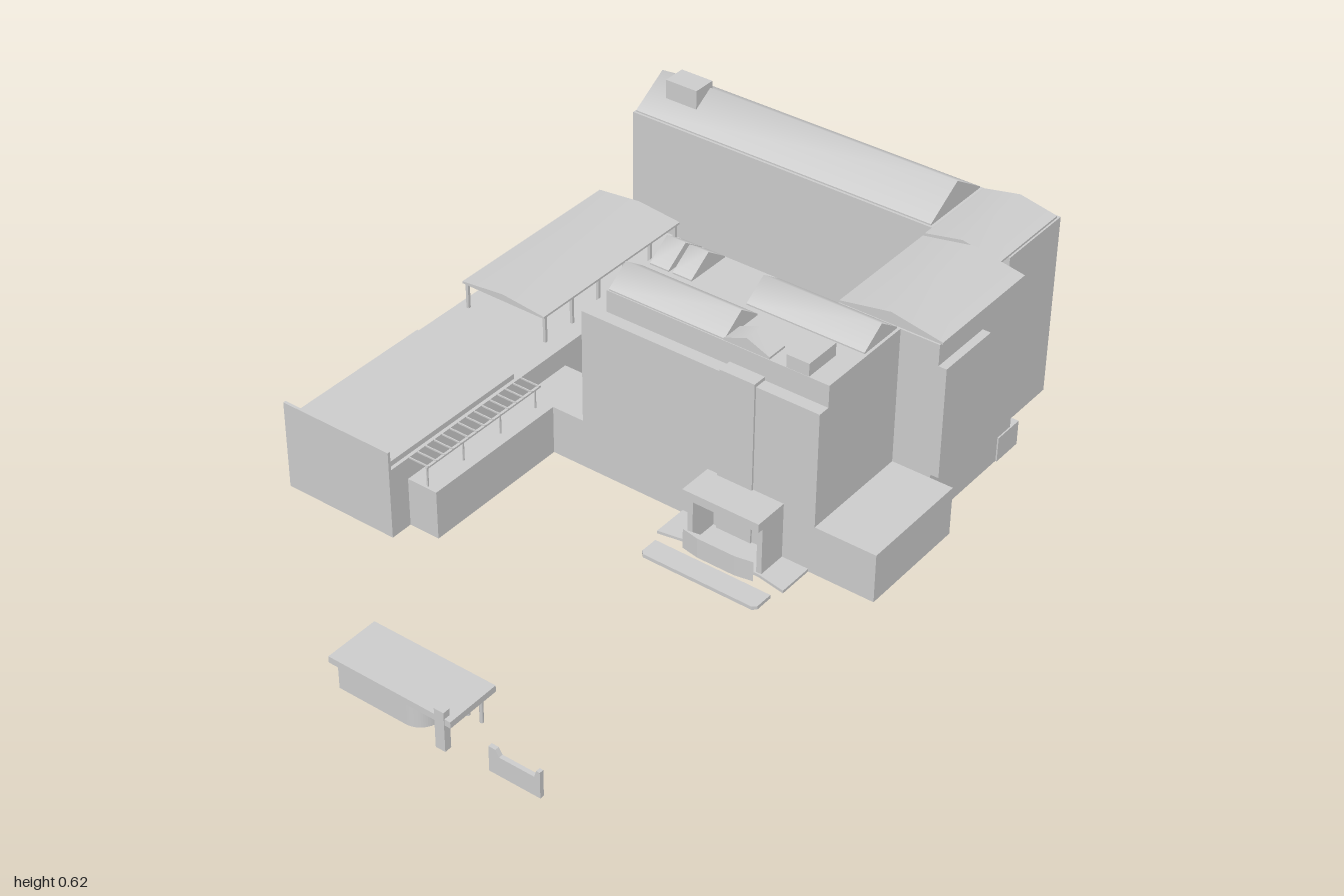
import * as THREE from 'three';

const mat = new THREE.MeshStandardMaterial({ color: 0xcccccc, side: THREE.DoubleSide });

export function createModel() {
  const root = new THREE.Group();

  function add(name, geometry, parent = root) {
    const m = new THREE.Mesh(geometry, mat);
    m.name = name;
    parent.add(m);
    return m;
  }

  // Box given by its limits on each axis
  function box(name, x0, x1, y0, y1, z0, z1, parent) {
    const g = new THREE.BoxGeometry(x1 - x0, y1 - y0, z1 - z0);
    g.translate((x0 + x1) / 2, (y0 + y1) / 2, (z0 + z1) / 2);
    return add(name, g, parent);
  }

  // Hollow block standing on the ground, open underneath
  function block(name, x0, x1, y1, z0, z1) {
    const m = box(name, x0, x1, 0, y1, z0, z1);
    const faces = Array.from(m.geometry.index.array);
    faces.splice(18, 6);
    m.geometry.setIndex(faces);
    m.geometry.clearGroups();
    return m;
  }

  // Gable roof with softly shaded slopes; the ridge runs along 'x' or 'z'
  function gable(name, axis, x0, x1, z0, z1, y0, y1, lip = 0.004, parent = root) {
    const roof = new THREE.Group();
    roof.name = name;
    parent.add(roof);
    const along = axis === 'x';
    const [a, b, c, d] = along ? [-z1, -z0, x0, x1] : [x0, x1, z0, z1];
    const profile = [[b, y0 + lip], [(a + b) / 2, y1], [a, y0 + lip]];
    const place = (pts, index) => {
      const g = new THREE.BufferGeometry();
      g.setAttribute('position', new THREE.Float32BufferAttribute(pts.flat(), 3));
      g.setIndex(index);
      g.computeVertexNormals();
      if (along) g.rotateY(Math.PI / 2);
      return g;
    };
    const back = profile.map(([p, y]) => [p, y, c]);
    const front = profile.map(([p, y]) => [p, y, d]);
    add('slopes', place([...back, ...front], [0, 1, 3, 1, 4, 3, 1, 2, 4, 2, 5, 4]), roof);
    add('gableEnds', place([...back, ...front], [0, 2, 1, 3, 4, 5]), roof);
    box('eaves', x0, x1, y0, y0 + lip, z0, z1, roof);
  }

  // Flat outline in x and z, raised from y0 to y1
  function slab(name, pts, y0, y1, parent) {
    const s = new THREE.Shape(pts.map(([x, z]) => new THREE.Vector2(x, -z)));
    const g = new THREE.ExtrudeGeometry(s, { depth: y1 - y0, bevelEnabled: false });
    g.rotateX(-Math.PI / 2);
    g.translate(0, y0, 0);
    return add(name, g, parent);
  }

  // Rear range with long gable roof and chimney
  block('rearBuilding', -0.598, 0.567, 0.53, -1, -0.76);
  gable('rearRoof', 'x', -0.593, 0.333, -0.995, -0.767, 0.53, 0.605);
  box('rearChimney', -0.535, -0.435, 0.565, 0.622, -0.89, -0.82);

  // East range
  block('eastBuilding', 0.343, 0.632, 0.525, -0.72, -0.345);
  gable('eastRoofRear', 'z', 0.345, 0.562, -0.99, -0.72, 0.53, 0.558, 0.006);
  gable('eastRoof', 'z', 0.343, 0.637, -0.715, -0.35, 0.525, 0.558, 0.006);
  box('eastBay', 0.632, 0.655, 0.145, 0.465, -0.54, -0.345);
  block('eastStep', 0.56, 0.636, 0.072, -0.755, -0.66);

  // Main building with set-back top floor
  block('mainBuilding', -0.175, 0.525, 0.468, -0.34, -0.01);
  box('mainTopFloor', -0.125, 0.525, 0.468, 0.53, -0.34, -0.045);
  gable('mainFrontRoof', 'x', -0.12, 0.225, -0.18, -0.048, 0.53, 0.58);
  gable('mainBackRoof', 'x', 0.178, 0.517, -0.336, -0.2, 0.53, 0.58);
  for (const x of [-0.112, -0.043])
    gable('skylight', 'x', x, x + 0.057, -0.336, -0.2, 0.53, 0.58);
  gable('frontDormer', 'z', 0.222, 0.355, -0.108, -0.047, 0.53, 0.563, 0.006);
  box('mainChimney', 0.403, 0.467, 0.53, 0.566, -0.155, -0.046);
  box('facadePier', 0.243, 0.345, 0, 0.478, -0.045, -0.004);
  block('sideAnnex', 0.525, 0.7, 0.14, -0.34, -0.01);

  // Entrance portal, paving and planter
  const porch = new THREE.Group();
  porch.name = 'entrancePorch';
  root.add(porch);
  box('porchCanopy', 0.21, 0.435, 0.143, 0.168, -0.01, 0.092, porch);
  for (const x of [0.215, 0.42]) box('porchSide', x, x + 0.015, 0, 0.143, -0.01, 0.075, porch);
  slab('porchPaving', [[0.137, -0.01], [0.512, -0.01], [0.512, 0.094], [0.432, 0.08],
    [0.217, 0.08], [0.137, 0.094]], 0, 0.008, porch);
  slab('planterWall', [[0.22, 0.101], [0.27, 0.093], [0.38, 0.093], [0.43, 0.101], [0.38, 0.11], [0.27, 0.11]],
    0, 0.058, porch);
  slab('forecourtSlab', [[0.157, 0.127], [0.499, 0.127], [0.499, 0.179], [0.489, 0.189],
    [0.167, 0.189], [0.157, 0.179]], 0, 0.01, porch);

  // Long low wing with front parapet and roof sheet
  block('lowWing', -0.7, -0.36, 0.2, -0.757, 0.5);
  box('wingParapet', -0.7, -0.36, 0.2, 0.255, 0.492, 0.5);
  box('wingRoof', -0.69, -0.37, 0.2, 0.215, 0.02, 0.487);

  // Open pavilion on the wing's deck
  const pavilion = new THREE.Group();
  pavilion.name = 'deckPavilion';
  root.add(pavilion);
  gable('pavilionRoof', 'z', -0.675, -0.405, -0.712, -0.143, 0.278, 0.298, 0.006, pavilion);
  for (const x of [-0.668, -0.412])
    for (let i = 0; i < 6; i++) {
      const z = -0.7 + i * 0.109;
      box('pavilionPost', x - 0.004, x + 0.004, 0.2, 0.28, z - 0.004, z + 0.004, pavilion);
    }

  // Link block and side terrace with pergola
  block('linkBlock', -0.36, -0.175, 0.14, -0.17, -0.01);
  block('sideTerrace', -0.36, -0.27, 0.14, -0.01, 0.435);
  const pergola = new THREE.Group();
  pergola.name = 'pergola';
  root.add(pergola);
  box('pergolaBeam', -0.305, -0.3, 0.193, 0.198, 0, 0.43, pergola);
  for (let i = 0; i <= 14; i++) {
    const z = 0.005 + i * 0.03;
    box('pergolaRafter', -0.36, -0.3, 0.196, 0.2, z - 0.0015, z + 0.0015, pergola);
  }
  for (const z of [0.02, 0.155, 0.295, 0.427])
    box('pergolaPost', -0.305, -0.301, 0.14, 0.195, z - 0.002, z + 0.002, pergola);

  // Gatehouse: flat roof, hollow body with a rounded end, posts
  const gate = new THREE.Group();
  gate.name = 'gatehouse';
  root.add(gate);
  box('gatehouseRoof', -0.105, 0.257, 0.077, 0.095, 0.843, 0.998, gate);
  const outline = new THREE.Path();
  outline.moveTo(-0.09, 0.865);
  outline.lineTo(-0.09, 0.985);
  outline.lineTo(0.11, 0.985);
  outline.absarc(0.11, 0.93, 0.055, Math.PI / 2, 0, true);
  outline.lineTo(0.165, 0.865);
  outline.lineTo(-0.09, 0.865);
  const ring = outline.getPoints(8);
  const walls = [];
  for (let i = 0; i + 1 < ring.length; i++) {
    const p = ring[i], q = ring[i + 1];
    walls.push(p.x, 0, p.y, q.x, 0, q.y, q.x, 0.077, q.y, p.x, 0, p.y, q.x, 0.077, q.y, p.x, 0.077, p.y);
  }
  const wallsGeo = new THREE.BufferGeometry();
  wallsGeo.setAttribute('position', new THREE.Float32BufferAttribute(walls, 3));
  wallsGeo.computeVertexNormals();
  add('gatehouseWalls', wallsGeo, gate);
  box('gatePillar', 0.212, 0.24, 0, 0.114, 0.98, 1, gate);
  for (const x of [0.2, 0.24]) {
    const g = new THREE.CylinderGeometry(0.005, 0.005, 0.078, 8);
    g.translate(x, 0.039, 0.875);
    add('gatePost', g, gate);
  }

  // Free-standing gate wall with raised ends
  const wall = new THREE.Shape([[0.355, 0], [0.5, 0], [0.5, 0.075], [0.49, 0.075], [0.484, 0.055],
    [0.385, 0.055], [0.375, 0.072], [0.355, 0.072]].map(([x, y]) => new THREE.Vector2(x, y)));
  const wallGeo = new THREE.ExtrudeGeometry(wall, { depth: 0.012, bevelEnabled: false });
  wallGeo.translate(0, 0, 0.974);
  add('gateWall', wallGeo);

  return root;
}
